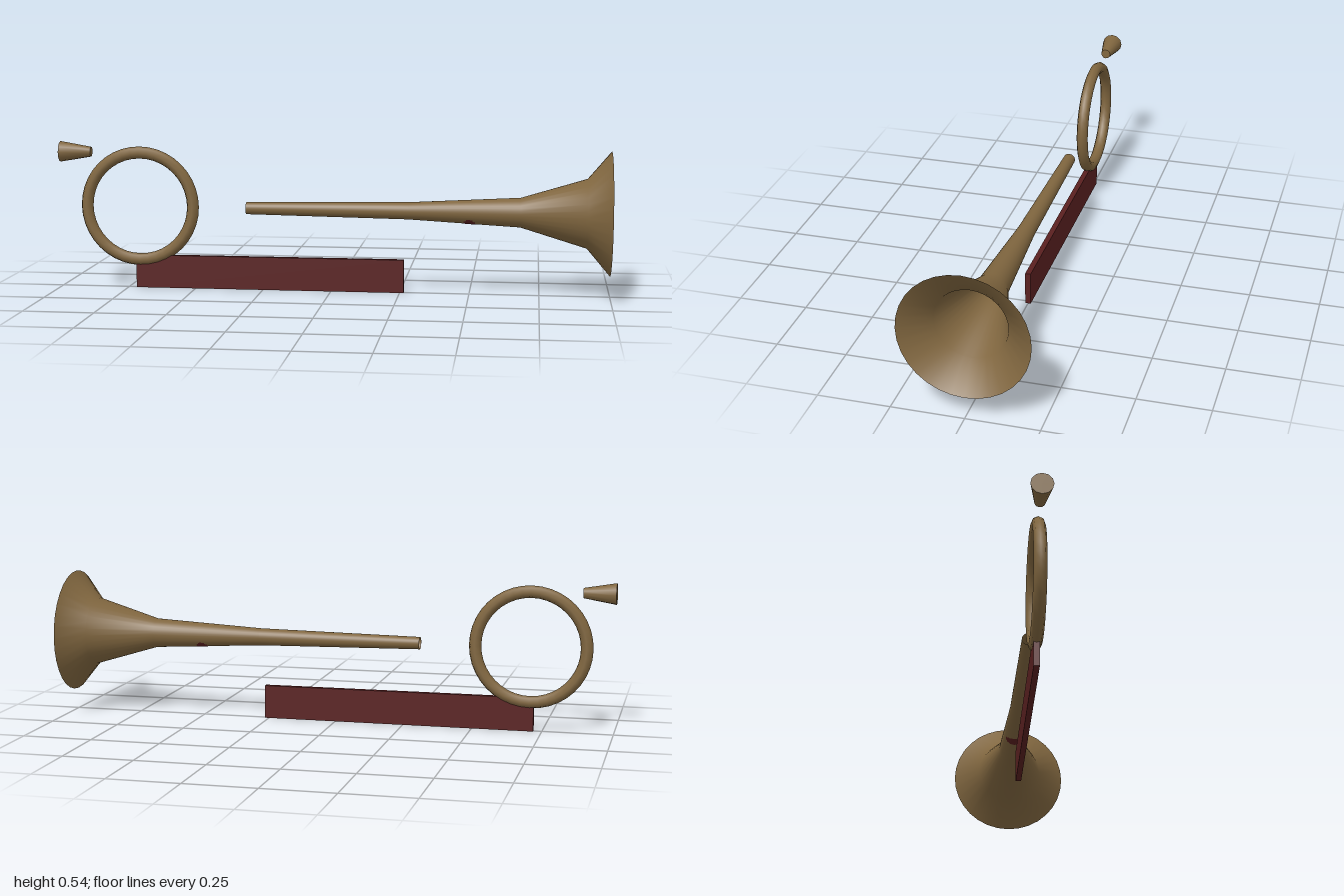
import * as THREE from 'three';

export function createModel() {
  const horn = new THREE.Group();
  horn.name = 'horn';
  const brass = new THREE.MeshStandardMaterial({ color: 0x80663f, side: THREE.DoubleSide });
  brass.name = 'brass';
  const red = new THREE.MeshStandardMaterial({ color: 0x5a2020, side: THREE.DoubleSide });
  red.name = 'dark red';

  const add = (name, geometry, material, x, y) => {
    const mesh = new THREE.Mesh(geometry, material);
    mesh.name = name;
    mesh.position.set(x, y, 0);
    horn.add(mesh);
    return mesh;
  };

  // Open flaring bell, turned around the x axis: [x, radius]
  const profile = [[-0.31, 0.022], [0.28, 0.031], [0.68, 0.053], [0.915, 0.124], [0.998, 0.222]];
  const bell = new THREE.LatheGeometry(profile.map(([x, r]) => new THREE.Vector2(r, x)), 32);
  bell.rotateZ(-Math.PI / 2);
  add('bell', bell, brass, 0, 0.299);

  // Coiled tube
  add('coil', new THREE.TorusGeometry(0.197, 0.022, 8, 40), brass, -0.705, 0.3);

  // Mouthpiece, wide end outward
  const mouthpiece = new THREE.CylinderGeometry(0.018, 0.038, 0.115, 12);
  mouthpiece.rotateZ(-Math.PI / 2);
  add('mouthpiece', mouthpiece, brass, -0.9425, 0.498);

  // Hanging banner board
  add('banner', new THREE.BoxGeometry(0.985, 0.12, 0.02), red, -0.2275, 0.06);

  // Thin rounded grip wrapped around the underside of the bell
  const grip = new THREE.SphereGeometry(1, 16, 12);
  const p = grip.attributes.position;
  for (let i = 0; i < p.count; i++) {
    const dx = p.getX(i) * 0.033;
    const angle = p.getZ(i) * 1.15;
    const radius = 0.0415 + dx * 0.055 - p.getY(i) * 0.003;
    p.setXYZ(i, dx, -radius * Math.cos(angle), radius * Math.sin(angle));
  }
  grip.computeVertexNormals();
  add('grip', grip, red, 0.5, 0.299);

  return horn;
}
